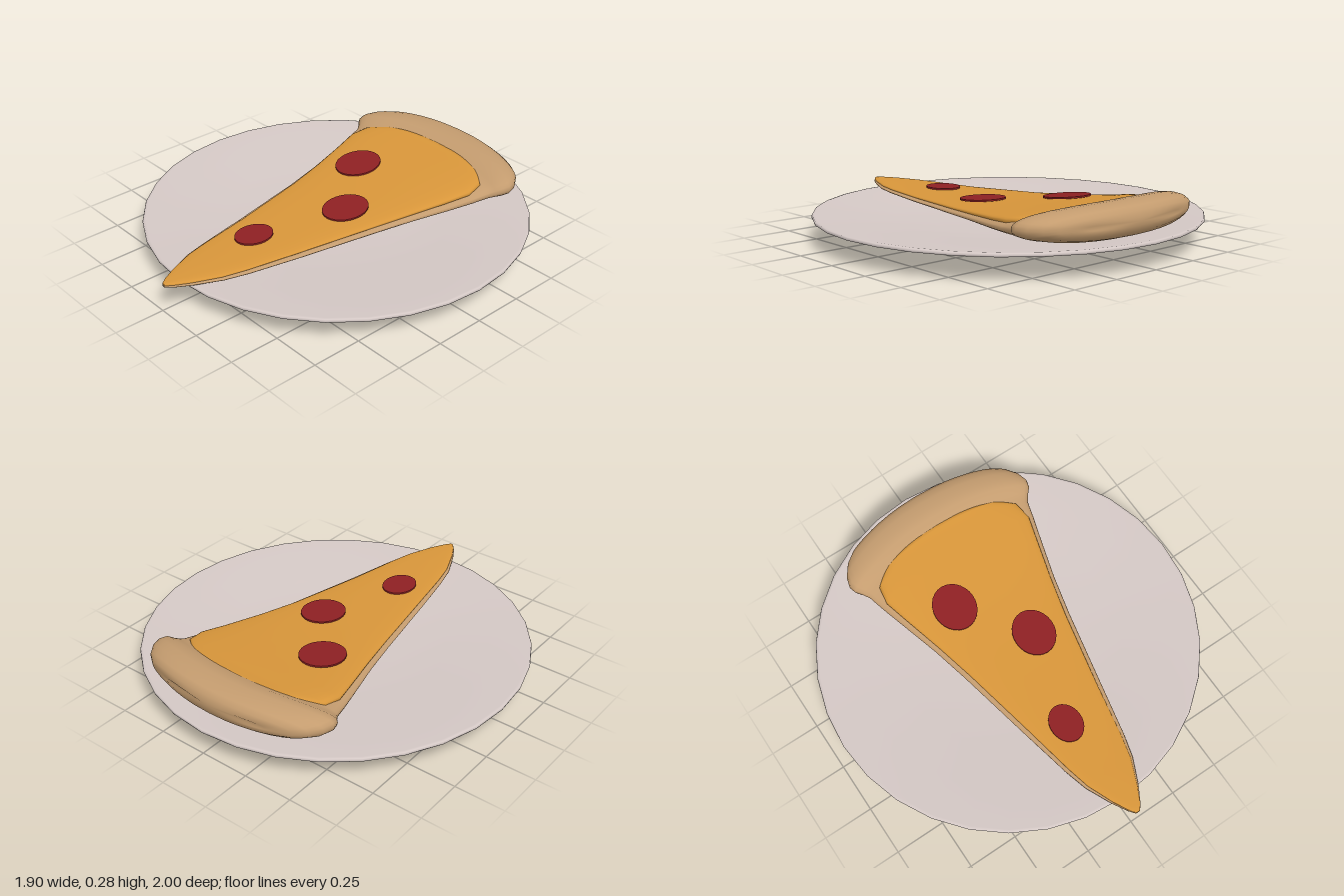
import * as THREE from 'three';

const CENTRE_X = 0.025;

// Rows are [z, half width, bottom y, top y]; each is a rounded cross-section.
// Towards the back the sections bow forward at the sides, like a pie's rim.
function loft(rows, power, sides = 40) {
  const pos = [], idx = [];
  const put = (x, y, z) => {
    const k = 0.1 * THREE.MathUtils.smoothstep(-z, 0.35, 0.85);
    pos.push(CENTRE_X + x, y, z + k * (x / 0.5) ** 2);
  };
  const bulge = (v) => Math.sign(v) * Math.abs(v) ** (2 / power);
  for (const [z, w, y0, y1] of rows) {
    for (let j = 0; j < sides; j++) {
      const a = (j / sides) * Math.PI * 2;
      put(w * bulge(Math.cos(a)), (y0 + y1) / 2 + ((y1 - y0) / 2) * bulge(Math.sin(a)), z);
    }
  }
  const n = rows.length;
  const first = rows[0], last = rows[n - 1];
  put(0, (first[2] + first[3]) / 2, first[0]);
  put(0, (last[2] + last[3]) / 2, last[0]);
  for (let j = 0; j < sides; j++) {
    const k = (j + 1) % sides;
    for (let i = 0; i < n - 1; i++) {
      const a = i * sides + j, b = i * sides + k;
      idx.push(a, b, a + sides, b, b + sides, a + sides);
    }
    idx.push(n * sides, k, j);
    idx.push(n * sides + 1, (n - 1) * sides + j, (n - 1) * sides + k);
  }
  const g = new THREE.BufferGeometry();
  g.setAttribute('position', new THREE.Float32BufferAttribute(pos, 3));
  g.setIndex(idx);
  g.computeVertexNormals();
  return g;
}

export function createModel() {
  const group = new THREE.Group();
  const material = (name, color) => {
    const m = new THREE.MeshStandardMaterial({ color });
    m.name = name;
    return m;
  };
  const plateMat = material('plate grey', 0xd4c8c5);
  const crustMat = material('baked crust', 0xc49c6f);
  const cheeseMat = material('golden cheese', 0xd8963a);
  const sausageMat = material('sausage red', 0x8e2023);

  const add = (name, geometry, mat) => {
    const mesh = new THREE.Mesh(geometry, mat);
    mesh.name = name;
    group.add(mesh);
    return mesh;
  };

  // Plate with a hollow foot ring and a shallow dish
  const profile = [
    [0, 0.02], [0.265, 0.02], [0.28, 0.015], [0.285, 0.002], [0.295, 0], [0.335, 0], [0.35, 0.004],
    [0.354, 0.015], [0.36, 0.027], [0.42, 0.042], [0.54, 0.07], [0.75, 0.092], [0.935, 0.11],
    [0.948, 0.113], [0.95, 0.12], [0.947, 0.128], [0.935, 0.13], [0.75, 0.118], [0.55, 0.1],
    [0.35, 0.085], [0, 0.08],
  ].map(([r, y]) => new THREE.Vector2(r, y));
  const plateGeo = new THREE.LatheGeometry(profile, 32);
  // The foot sits slightly off the rim's centre
  const p = plateGeo.attributes.position;
  for (let i = 0; i < p.count; i++) {
    const r = Math.hypot(p.getX(i), p.getZ(i));
    p.setX(i, p.getX(i) + 0.028 * THREE.MathUtils.clamp((0.95 - r) / 0.6, 0, 1));
  }
  add('plate', plateGeo, plateMat).position.z = -0.05;

  // Dough base with its raised rounded rim at the back
  add('crust', loft([
    [-0.93, 0.3, 0.19, 0.225],
    [-0.922, 0.42, 0.163, 0.255],
    [-0.9, 0.475, 0.143, 0.273],
    [-0.86, 0.515, 0.13, 0.283],
    [-0.81, 0.53, 0.126, 0.285],
    [-0.765, 0.52, 0.125, 0.281],
    [-0.72, 0.495, 0.125, 0.256],
    [-0.67, 0.473, 0.125, 0.238],
    [-0.55, 0.45, 0.125, 0.222],
    [-0.4, 0.413, 0.125, 0.204],
    [-0.2, 0.355, 0.125, 0.186],
    [0, 0.307, 0.125, 0.172],
    [0.4, 0.223, 0.126, 0.157],
    [0.65, 0.17, 0.127, 0.156],
    [0.77, 0.137, 0.129, 0.157],
    [0.9, 0.077, 0.133, 0.157],
    [0.97, 0.036, 0.136, 0.156],
    [1, 0.012, 0.14, 0.154],
  ], 2.5), crustMat);

  // Cheese layer
  add('cheese', loft([
    [-0.73, 0.25, 0.215, 0.26],
    [-0.71, 0.34, 0.195, 0.255],
    [-0.66, 0.41, 0.18, 0.248],
    [-0.55, 0.423, 0.17, 0.237],
    [-0.4, 0.388, 0.165, 0.217],
    [-0.2, 0.333, 0.154, 0.198],
    [0, 0.284, 0.146, 0.183],
    [0.4, 0.201, 0.14, 0.167],
    [0.65, 0.153, 0.14, 0.165],
    [0.77, 0.124, 0.141, 0.165],
    [0.9, 0.07, 0.143, 0.165],
    [0.97, 0.032, 0.144, 0.163],
    [1, 0.01, 0.147, 0.16],
  ], 3), cheeseMat);

  // Sausage slices resting on the sloping cheese: x, y, z, half sizes, tilt
  const slices = [
    [-0.133, 0.217, -0.32, 0.107, 0.122, 0.1],
    [0.12, 0.192, 0, 0.104, 0.12, 0.07],
    [-0.01, 0.172, 0.462, 0.08, 0.098, 0.012],
  ];
  for (const [x, y, z, rx, rz, tilt] of slices) {
    const disc = add('sausageSlice', new THREE.CylinderGeometry(1, 1, 0.008, 28), sausageMat);
    disc.position.set(x, y, z);
    disc.scale.set(rx, 1, rz);
    disc.rotation.x = tilt;
  }
  return group;
}
